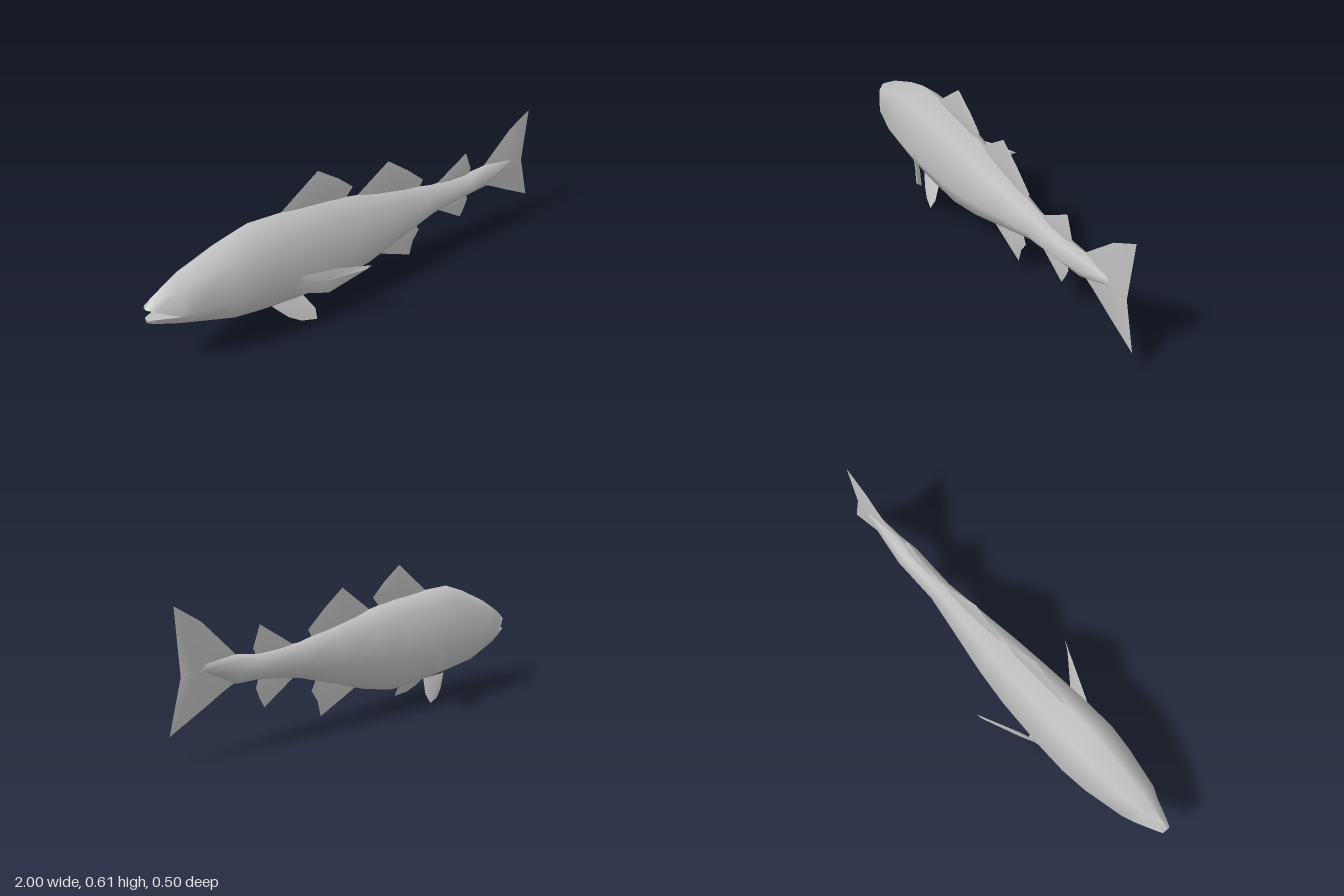
import * as THREE from 'three';
import { mergeGeometries, toCreasedNormals } from 'three/addons/utils/BufferGeometryUtils.js';

const skin = new THREE.MeshStandardMaterial({ color: 0xbfbfbf });
skin.name = 'grey skin';

function fromTriangles(tris) {
  const geo = new THREE.BufferGeometry();
  geo.setAttribute('position', new THREE.Float32BufferAttribute(tris.flat(2), 3));
  return geo;
}

// Skin over closed rings that run along +x, with optional end caps
function loft(rings, capStart, capEnd) {
  const tris = [], n = rings[0].length;
  for (let i = 0; i < rings.length - 1; i++) {
    for (let j = 0; j < n; j++) {
      const k = (j + 1) % n;
      const a = rings[i][j], b = rings[i][k], c = rings[i + 1][k], d = rings[i + 1][j];
      tris.push([a, b, d], [b, c, d]);
    }
  }
  const first = rings[0], last = rings[rings.length - 1];
  for (let j = 1; j < n - 1; j++) {
    if (capStart) tris.push([first[0], first[j + 1], first[j]]);
    if (capEnd) tris.push([last[0], last[j], last[j + 1]]);
  }
  return fromTriangles(tris);
}

// Eight-sided body section: x, top, bottom, half width, height of the widest point
function ring([x, top, bottom, w, mid = bottom + (top - bottom) * 0.39]) {
  const h = top - bottom, up = bottom + h * 0.84, low = bottom + h * 0.09;
  return [
    [x, top, 0], [x, up, w * 0.56], [x, mid, w], [x, low, w * 0.5],
    [x, bottom, 0], [x, low, -w * 0.5], [x, mid, -w], [x, up, -w * 0.56],
  ];
}
const upperHalf = (r) => [r[6], r[7], r[0], r[1], r[2]];
const lowerHalf = (r) => [r[2], r[3], r[4], r[5], r[6]];

function buildBody() {
  const sections = [
    [-0.89, 0.377, 0.186, 0.068, 0.25], [-0.84, 0.402, 0.172, 0.09],
    [-0.67, 0.465, 0.115, 0.126], [-0.55, 0.497, 0.1, 0.14],
    [-0.4, 0.49, 0.085, 0.138], [-0.17, 0.468, 0.072, 0.125],
    [0, 0.435, 0.102, 0.107], [0.2, 0.392, 0.158, 0.077],
    [0.38, 0.352, 0.21, 0.051], [0.6, 0.336, 0.238, 0.051],
    [0.7, 0.348, 0.238, 0.036], [0.84, 0.342, 0.295, 0.02],
    [0.93, 0.32, 0.3, 0.008],
  ].map(ring);
  // The front section forks into two jaws around an open mouth
  const upper = [[-1, 0.314, 0.2, 0.012, 0.297], [-0.97, 0.335, 0.2, 0.03, 0.284]].map(ring);
  const lower = [[-1, 0.3, 0.234, 0.012, 0.25], [-0.97, 0.33, 0.215, 0.028, 0.25]].map(ring);
  const geo = mergeGeometries([
    loft(sections, false, true),
    loft([...upper, sections[0]].map(upperHalf), true, false),
    loft([...lower, sections[0]].map(lowerHalf), true, false),
  ]);
  const mesh = new THREE.Mesh(toCreasedNormals(geo, 1.5), skin);
  mesh.name = 'body';
  return mesh;
}

// Lens-shaped fin: a sharp outline swelling to a ridge point on both sides
function fin(name, outline, thickness, centre) {
  const pts = outline.map(([x, y, z = 0]) => new THREE.Vector3(x, y, z));
  const mid = new THREE.Vector3();
  if (centre) mid.set(...centre);
  else pts.forEach((p) => mid.addScaledVector(p, 1 / pts.length));
  const normal = new THREE.Vector3();
  pts.forEach((p, i) => {
    const q = pts[(i + 1) % pts.length];
    normal.add(p.clone().sub(mid).cross(q.clone().sub(mid)));
  });
  normal.normalize();
  const front = mid.clone().addScaledVector(normal, thickness).toArray();
  const back = mid.clone().addScaledVector(normal, -thickness).toArray();
  const tris = [];
  pts.forEach((p, i) => {
    const a = p.toArray(), b = pts[(i + 1) % pts.length].toArray();
    tris.push([front, a, b], [back, b, a]);
  });
  const mesh = new THREE.Mesh(toCreasedNormals(fromTriangles(tris), 0.6), skin);
  mesh.name = name;
  return mesh;
}

export function createModel() {
  const fish = new THREE.Group();
  fish.name = 'fish';
  fish.add(buildBody());

  // Fins on the centre line
  fish.add(
    fin('firstDorsalFin', [[-0.42, 0.475], [-0.22, 0.614], [-0.12, 0.547], [-0.05, 0.487],
      [-0.08, 0.455], [-0.1, 0.42], [-0.38, 0.45]], 0.012, [-0.19, 0.53, 0]),
    fin('secondDorsalFin', [[-0.05, 0.425], [0.135, 0.545], [0.24, 0.47], [0.33, 0.395],
      [0.31, 0.36], [0.28, 0.34], [0, 0.39]], 0.012, [0.15, 0.44, 0]),
    fin('thirdDorsalFin', [[0.39, 0.335], [0.58, 0.445], [0.598, 0.4], [0.615, 0.358],
      [0.595, 0.32], [0.43, 0.31]], 0.011, [0.54, 0.37, 0]),
    fin('firstAnalFin', [[0.05, 0.125], [0.265, 0.034], [0.282, 0.1], [0.315, 0.146],
      [0.28, 0.21], [0.1, 0.17]], 0.011, [0.23, 0.11, 0]),
    fin('secondAnalFin', [[0.4, 0.225], [0.565, 0.125], [0.588, 0.165], [0.605, 0.205],
      [0.59, 0.25], [0.43, 0.25]], 0.011, [0.54, 0.2, 0]),
    fin('tailFin', [[0.69, 0.34], [0.76, 0.404], [0.85, 0.485], [0.965, 0.55], [0.945, 0.3],
      [1, 0.098], [0.85, 0.172], [0.76, 0.219], [0.69, 0.25]], 0.018, [0.9, 0.305, 0]),
  );

  // Paired side and belly fins
  for (const [side, s] of [['right', 1], ['left', -1]]) {
    const flip = (pts) => pts.map(([x, y, z]) => [x, y, z * s]);
    fish.add(
      fin(side === 'right' ? 'leftPectoralFin' : 'rightPectoralFin', flip([
        [-0.42, 0.25, 0.128], [-0.39, 0.267, 0.14], [-0.28, 0.279, 0.187], [-0.145, 0.273, 0.248],
        [-0.165, 0.26, 0.243], [-0.29, 0.152, 0.156], [-0.4, 0.168, 0.108], [-0.42, 0.18, 0.105],
      ]), 0.008),
      fin(side === 'right' ? 'leftPelvicFin' : 'rightPelvicFin', flip([
        [-0.49, 0.105, 0.04], [-0.43, 0.042, 0.07], [-0.38, 0.013, 0.088], [-0.315, 0.002, 0.104],
        [-0.307, 0.04, 0.082], [-0.34, 0.1, 0.042],
      ]), 0.006),
    );
  }
  return fish;
}
